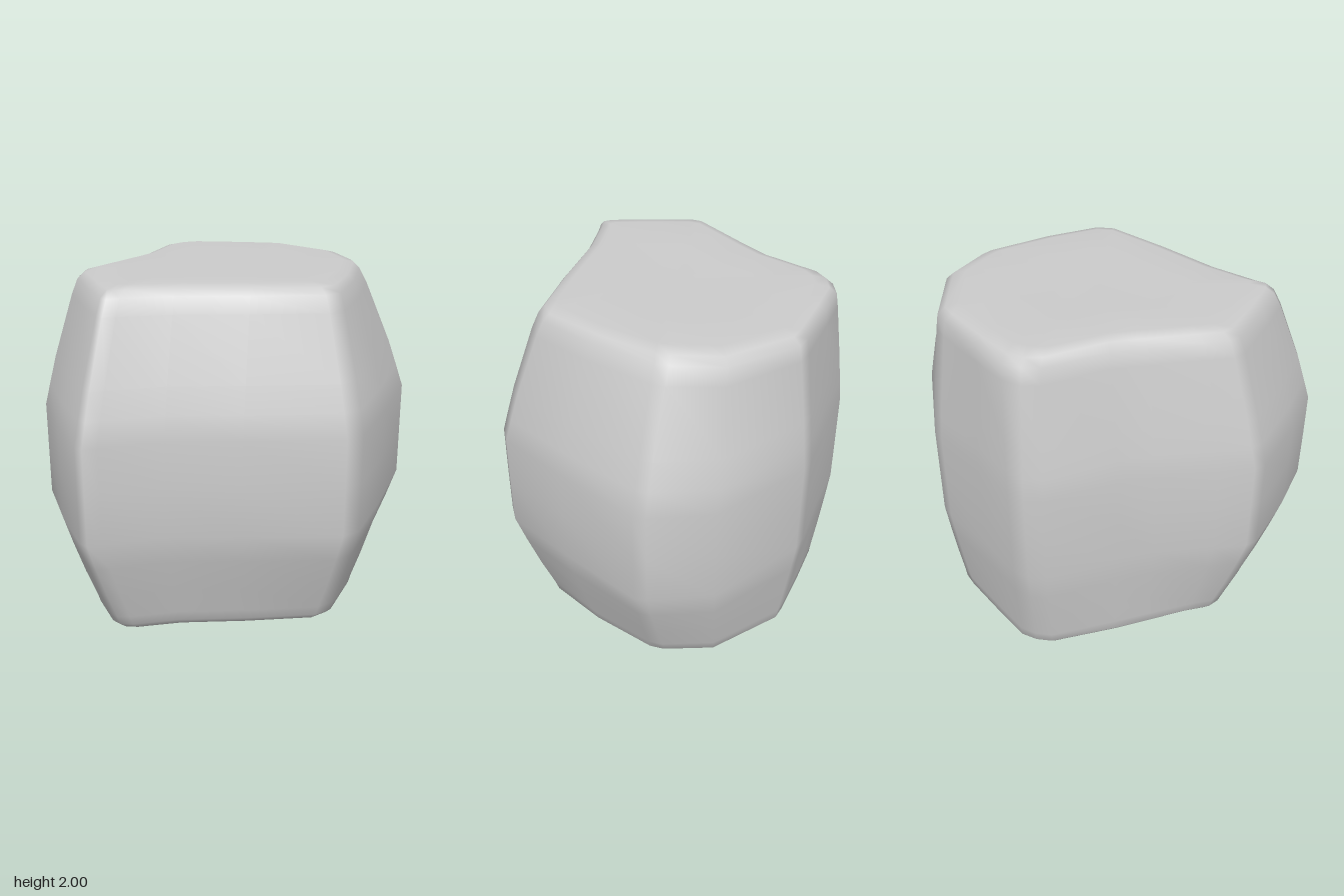
import * as THREE from 'three';

// Plan outline [x, z] at the waist, counter-clockwise seen from above
const WAIST = [
  [-0.58, 1.0], [-0.51, 0.965], [-0.2, 0.81], [0.2, 0.72], [0.73, 0.59], [0.81, 0.51], [0.91, 0.08], [1.0, -0.42],
  [0.98, -0.49], [0.77, -0.78], [0.22, -1.0], [0.13, -1.0], [-0.2, -0.94], [-0.48, -0.91], [-0.58, -0.87],
  [-0.64, -0.79], [-0.71, -0.39], [-0.78, -0.2], [-0.92, 0.11], [-1.0, 0.28], [-1.0, 0.35], [-0.81, 0.7], [-0.63, 0.97],
];

// Matching outline where the sides meet the top
const TOP = [
  [-0.5, 0.73], [-0.44, 0.7], [-0.18, 0.6], [0.2, 0.51], [0.58, 0.4], [0.65, 0.32], [0.7, 0.0], [0.71, -0.38],
  [0.69, -0.45], [0.56, -0.7], [0.21, -0.91], [0.12, -0.91], [-0.18, -0.88], [-0.39, -0.85], [-0.48, -0.79],
  [-0.53, -0.71], [-0.58, -0.36], [-0.65, -0.18], [-0.76, 0.08], [-0.81, 0.2], [-0.8, 0.27], [-0.65, 0.53], [-0.54, 0.7],
];

// Matching outline where the sides meet the bottom, fuller than the top
const BOTTOM = [
  [-0.49, 0.75], [-0.42, 0.74], [-0.18, 0.64], [0.2, 0.54], [0.58, 0.42], [0.66, 0.34], [0.74, 0.0], [0.77, -0.38],
  [0.75, -0.46], [0.6, -0.7], [0.21, -0.91], [0.12, -0.91], [-0.18, -0.88], [-0.41, -0.85], [-0.49, -0.8],
  [-0.55, -0.73], [-0.66, -0.37], [-0.71, -0.17], [-0.77, 0.08], [-0.81, 0.2], [-0.8, 0.27], [-0.67, 0.53], [-0.54, 0.72],
];

// Cross-sections: [height, blend from waist to rim, scale about the core]
const ROWS = [
  [0.017, 1, 0], [0.016, 1, 0.55], [0.016, 1, 0.88], [0.032, 1, 0.96], [0.07, 0.97, 1], [0.13, 0.88, 1],
  [0.3, 0.57, 1], [0.5, 0.25, 1], [0.67, 0, 1], [0.95, -0.005, 1], [1.22, 0, 1],
  [1.35, 0.15, 1], [1.5, 0.33, 1], [1.85, 0.84, 1], [1.935, 1, 1], [1.972, 1, 0.95], [1.99, 1, 0.86], [1.986, 1, 0.5], [1.985, 1, 0],
];
const CORE = [0, -0.08];

function rockGeometry() {
  const n = WAIST.length, positions = [], index = [];
  for (const [y, blend, scale] of ROWS) {
    const rim = y < 1 ? BOTTOM : TOP;
    for (let i = 0; i < n; i++) {
      const [x, z] = [0, 1].map((k) => {
        const p = THREE.MathUtils.lerp(WAIST[i][k], rim[i][k], blend);
        return THREE.MathUtils.clamp(CORE[k] + (p - CORE[k]) * scale, -1, 1);
      });
      // top and bottom tip gently down towards +x
      positions.push(x, y - (y < 1 ? 0.022 : 0.01) * x, z);
    }
  }
  const last = ROWS.length - 2;
  for (let r = 0; r <= last; r++) {
    for (let i = 0; i < n; i++) {
      const j = (i + 1) % n;
      const a = r * n + i, b = r * n + j, c = b + n, d = a + n;
      if (r === 0) index.push(a, c, d);
      else if (r === last) index.push(a, b, d);
      else index.push(a, b, d, b, c, d);
    }
  }
  const geometry = new THREE.BufferGeometry();
  geometry.setAttribute('position', new THREE.Float32BufferAttribute(positions, 3));
  geometry.setIndex(index);
  geometry.computeVertexNormals();
  return geometry;
}

export function createModel() {
  const group = new THREE.Group();
  group.name = 'boulder';
  const rock = new THREE.Mesh(rockGeometry(), new THREE.MeshStandardMaterial({ color: 0xcccccc }));
  rock.name = 'rock';
  group.add(rock);
  return group;
}
